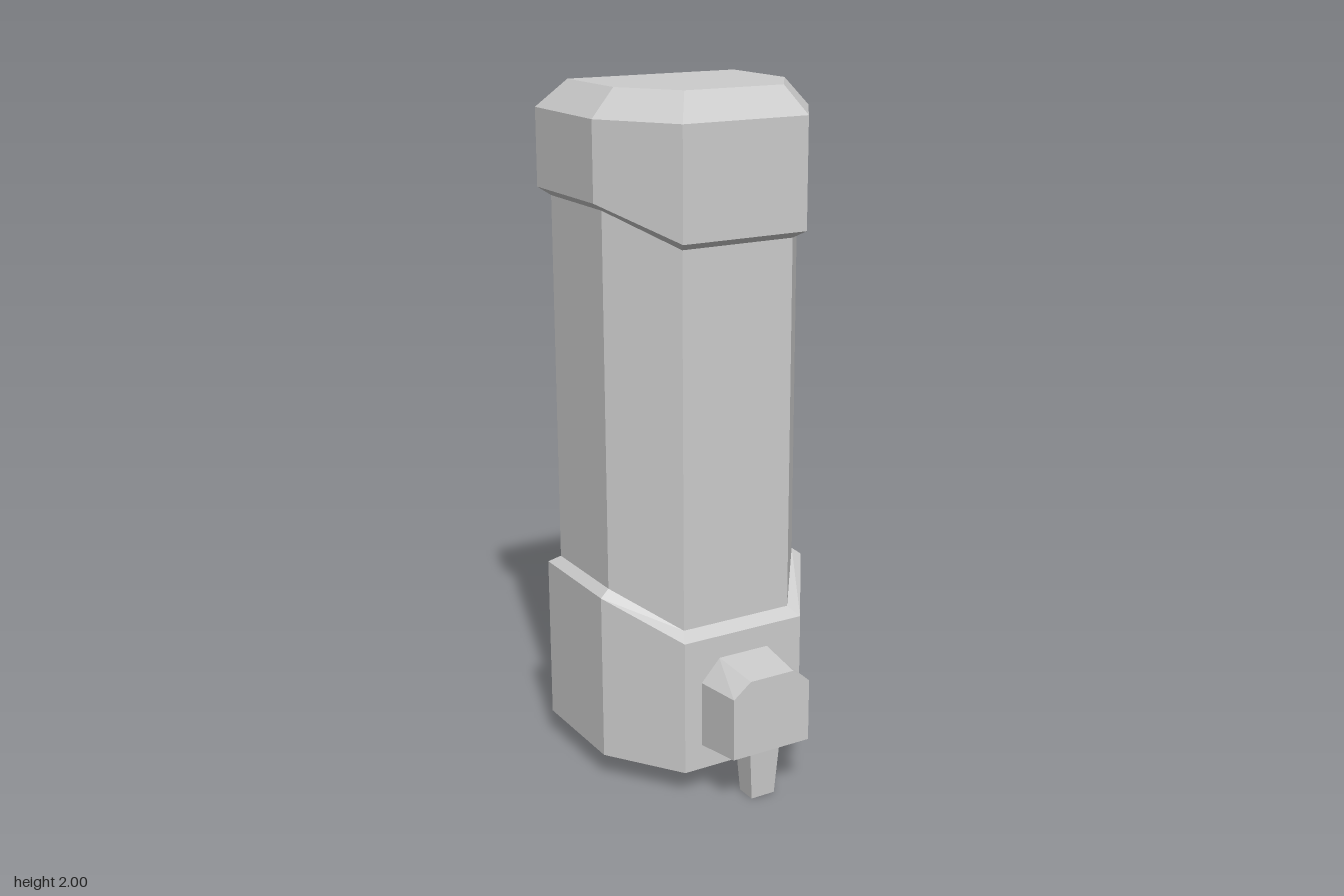
import * as THREE from 'three';

const material = new THREE.MeshStandardMaterial({ color: 0xcccccc, flatShading: true });

// Skin a stack of equal-length rings (counter-clockwise seen from the end of the stack).
function loft(name, rings, capStart, capEnd) {
  const pos = [];
  const tri = (a, b, c) => pos.push(...a, ...b, ...c);
  const n = rings[0].length;
  for (let r = 0; r < rings.length - 1; r++) {
    const A = rings[r], B = rings[r + 1];
    for (let i = 0; i < n; i++) {
      const j = (i + 1) % n;
      tri(A[i], A[j], B[j]);
      tri(A[i], B[j], B[i]);
    }
  }
  const first = rings[0], last = rings[rings.length - 1];
  for (let i = 1; i < n - 1; i++) {
    if (capStart) tri(first[0], first[i + 1], first[i]);
    if (capEnd) tri(last[0], last[i], last[i + 1]);
  }
  const geometry = new THREE.BufferGeometry();
  geometry.setAttribute('position', new THREE.Float32BufferAttribute(pos, 3));
  geometry.computeVertexNormals();
  const mesh = new THREE.Mesh(geometry, material);
  mesh.name = name;
  return mesh;
}

// Six-sided plan with a flat back and a narrower front; the front may sit at another height.
const hex = ([w, back, mid, frontW, front], y, yFront = y) => [
  [w, y, back], [-w, y, back], [-w, y, mid],
  [-frontW, yFront, front], [frontW, yFront, front], [w, y, mid],
];

// Spout outline: flat bottom, chamfered top corners.
const spoutRing = (w, topW, y0, yChamfer, y1, z) => [
  [-w, y0, z], [w, y0, z], [w, yChamfer, z],
  [topW, y1, z], [-topW, y1, z], [-w, yChamfer, z],
];

const rect = (w, z0, z1, y) => [[w, y, z0], [-w, y, z0], [-w, y, z1], [w, y, z1]];

export function createModel() {
  const group = new THREE.Group();
  group.name = 'dispenser';

  // Plans: [half width, back z, side corner z, front half width, front z]
  const outer = [0.343, -0.355, -0.015, 0.195, 0.204];
  const inner = [0.315, -0.325, -0.022, 0.175, 0.165];
  const bevel = [0.27, -0.296, -0.028, 0.154, 0.143];
  const recess = [0.225, -0.24, -0.05, 0.132, 0.1];

  group.add(
    // Base with a hollow underside and sloping shoulder
    loft('base', [
      hex(recess, 0.195), hex(bevel, 0.075), hex(outer, 0.075),
      hex(outer, 0.57, 0.477), hex(inner, 0.592, 0.5),
    ], true, false),
    // Main column
    loft('body', [hex(inner, 0.592, 0.5), hex(inner, 1.678, 1.588)], false, false),
    // Overhanging bevelled lid
    loft('lid', [
      hex(inner, 1.678, 1.588), hex(outer, 1.7, 1.61), hex(outer, 1.922), hex(bevel, 2),
    ], false, true),
    // Spout housing, tapering forward
    loft('spoutHousing', [
      spoutRing(0.14, 0.08, 0.15, 0.345, 0.41, 0.2),
      spoutRing(0.126, 0.071, 0.165, 0.35, 0.393, 0.355),
    ], true, true),
    // Tapered nozzle
    loft('nozzle', [rect(0.038, 0.25, 0.313, 0), rect(0.052, 0.24, 0.323, 0.19)], true, true),
  );
  return group;
}
